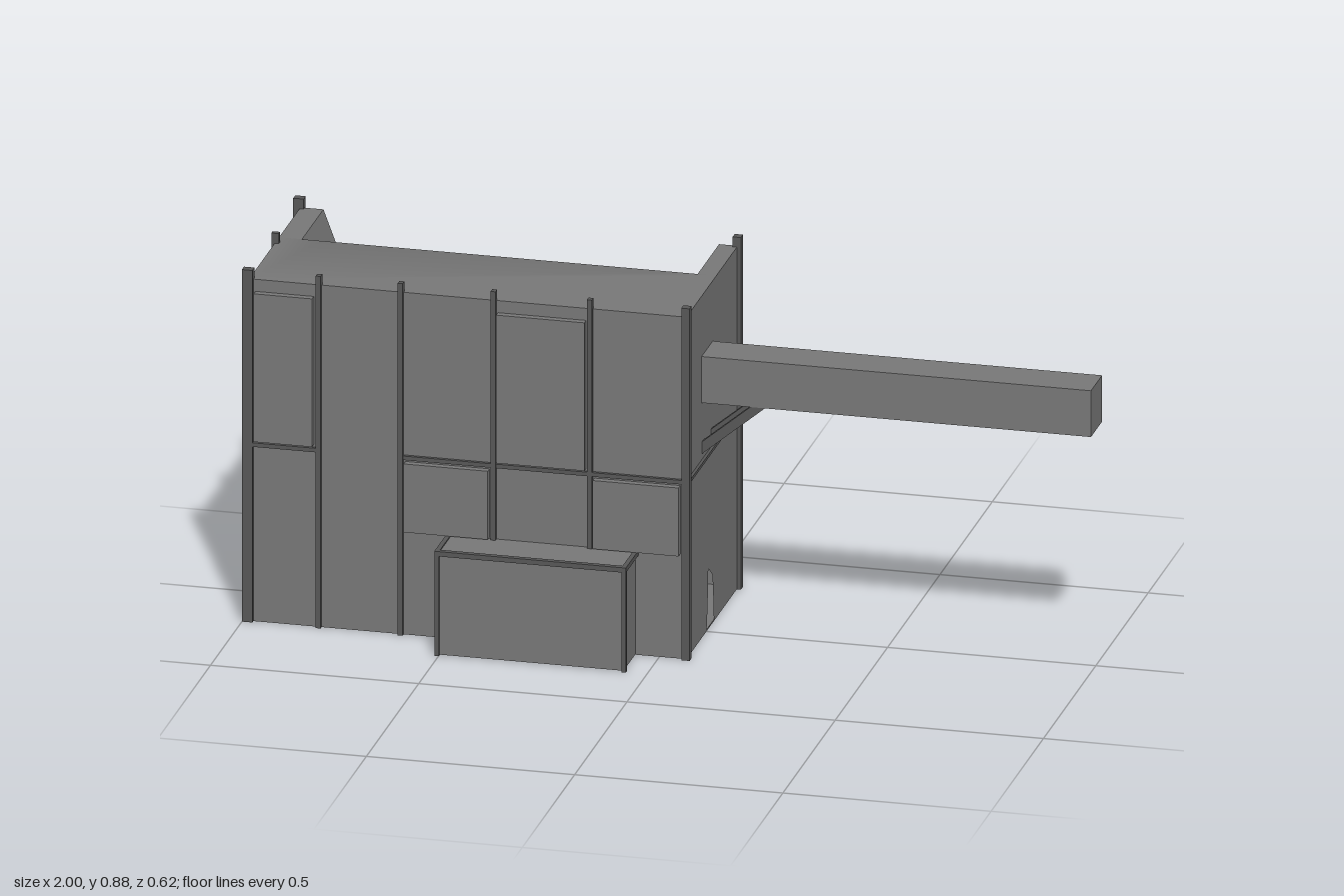
import * as THREE from 'three';

const wallGrey = new THREE.MeshStandardMaterial({ color: 0x787878, side: THREE.DoubleSide });
const trimGrey = new THREE.MeshStandardMaterial({ color: 0x585858, side: THREE.DoubleSide });

// Main block limits
const L = -0.985, R = 0.065, F = 0.19, B = -0.3, H = 0.85;
// Roof notch: depth, start of the slope, and its outer and inner x at each end
const LOW = 0.73, M = -0.095;
const NOTCH = [[-0.93, -0.885], [0.02, -0.02]];

export function createModel() {
  const model = new THREE.Group();

  const add = (name, geometry, material = wallGrey) => {
    const mesh = new THREE.Mesh(geometry, material);
    mesh.name = name;
    model.add(mesh);
  };
  // Box given by its limits on each axis
  const box = (name, material, x0, x1, y0, y1, z0, z1) =>
    add(name, new THREE.BoxGeometry(x1 - x0, y1 - y0, z1 - z0)
      .translate((x0 + x1) / 2, (y0 + y1) / 2, (z0 + z1) / 2), material);
  const outline = pts => new THREE.Shape(pts.map(p => new THREE.Vector2(...p)));
  // Indexed surface with normals shared between its faces
  const surface = (points, index) => {
    const g = new THREE.BufferGeometry();
    g.setAttribute('position', new THREE.Float32BufferAttribute(points.flat(), 3));
    g.setIndex(index);
    g.computeVertexNormals();
    return g;
  };

  // End walls; the right one has a ragged opening at its foot (shape x is -z)
  const end = () => outline([[-F, 0], [-B, 0], [-B, H], [-F, H]]);
  const holed = end();
  holed.holes.push(new THREE.Path([
    [0.002, 0.004], [0.01, 0.05], [0.015, 0.1], [0.018, 0.15], [0.058, 0.12], [0.065, 0.07], [0.071, 0.004],
  ].map(p => new THREE.Vector2(...p))));
  add('openedEndWall', new THREE.ShapeGeometry(holed).rotateY(Math.PI / 2).translate(R, 0, 0));
  add('plainEndWall', new THREE.ShapeGeometry(end()).rotateY(-Math.PI / 2).scale(1, 1, -1).translate(L, 0, 0)
    .rotateY(0).toNonIndexed().applyMatrix4(new THREE.Matrix4()));

  // Front wall, floor, and back wall with a notched top
  add('frontWall', new THREE.ShapeGeometry(outline([[L, 0], [R, 0], [R, H], [L, H]])).translate(0, 0, F));
  add('floor', new THREE.ShapeGeometry(outline([[L, B], [R, B], [R, F], [L, F]])).rotateX(Math.PI / 2).translate(0, 0.003, 0));
  const back = outline([[-R, 0], [-L, 0], [-L, H], [0.93, H], [0.885, LOW], [0.02, LOW], [-0.02, H], [-R, H]]);
  add('backWall', new THREE.ShapeGeometry(back).rotateY(Math.PI).translate(0, 0, B));

  // Roof: flat deck blending into the rear slope
  const [[lo, li], [ro, ri]] = NOTCH;
  add('roof', surface([
    [L, H, F], [R, H, F], [R, H, M], [ri, H, M], [li, H, M], [L, H, M], [ri, LOW, B], [li, LOW, B],
  ], [0, 1, 2, 0, 2, 3, 0, 3, 4, 0, 4, 5, 4, 3, 6, 4, 6, 7]));
  // Level strips beside the notch and the steep cheeks leading down from them
  for (const [edge, outer, inner] of [[L, lo, li], [R, ro, ri]]) {
    const s = Math.sign(inner - outer);
    const order = s > 0 ? [0, 1, 2, 0, 2, 3] : [0, 2, 1, 0, 3, 2];
    add('roofStrip', surface([[edge, H, M], [outer, H, M], [outer, H, B], [edge, H, B]], order));
    const cheek = surface([[outer, H, M], [inner, H, M], [inner, LOW, B], [outer, H, B]], order);
    for (let i = 0; i < 4; i++) cheek.attributes.normal.setXYZ(i, s * 0.93, 0.35, -0.1);
    add('notchCheek', cheek);
  }

  // Corner posts
  for (const [x0, x1] of [[-1, -0.975], [0.055, 0.075]]) {
    box('cornerPost', trimGrey, x0, x1, 0, 0.875, 0.18, 0.2);
    box('cornerPost', trimGrey, x0, x1, 0, 0.875, -0.31, -0.29);
  }
  // Slim posts along the front, and one on the plain end
  for (const x of [-0.817, -0.62, -0.397, -0.166]) {
    box('frontPost', trimGrey, x - 0.006, x + 0.006, 0, 0.875, 0.184, 0.2);
  }
  box('endPost', trimGrey, -0.993, -0.975, 0, 0.875, -0.065, -0.053);

  // Horizontal rails
  box('frontRail', trimGrey, -0.98, -0.82, 0.436, 0.446, 0.185, 0.198);
  box('frontRail', trimGrey, -0.62, 0.06, 0.436, 0.446, 0.185, 0.198);
  box('endRail', trimGrey, 0.06, 0.072, 0.435, 0.443, -0.29, 0.18);

  // Raised front panels
  for (const [x0, x1, y0, y1] of [
    [-0.97, -0.83, 0.452, 0.82], [-0.388, -0.176, 0.452, 0.82],
    [-0.61, -0.408, 0.26, 0.43], [-0.156, 0.05, 0.26, 0.43],
  ]) box('frontPanel', wallGrey, x0, x1, y0, y1, 0.188, 0.207);

  // Low annex with trim along its outer edges
  box('annex', wallGrey, -0.503, -0.057, 0.002, 0.257, 0.188, 0.306);
  box('annexFrontTrim', trimGrey, -0.51, -0.05, 0.248, 0.26, 0.299, 0.312);
  for (const x of [-0.51, -0.061]) {
    box('annexSideTrim', trimGrey, x, x + 0.011, 0.248, 0.26, 0.188, 0.3);
    box('annexCornerTrim', trimGrey, x, x + 0.011, 0, 0.25, 0.299, 0.312);
  }

  // Projecting beam and its two braces
  box('beam', wallGrey, R, 1, 0.585, 0.7, -0.06, 0.046);
  const brace = outline([[R, 0.457], [R, 0.487], [0.185, 0.587], [0.22, 0.587]]);
  brace.autoClose = true;
  for (const z of [0.027, -0.058]) {
    add('beamBrace', new THREE.ExtrudeGeometry(brace, { depth: 0.016, bevelEnabled: false }).translate(0, 0, z), trimGrey);
  }
  return model;
}
